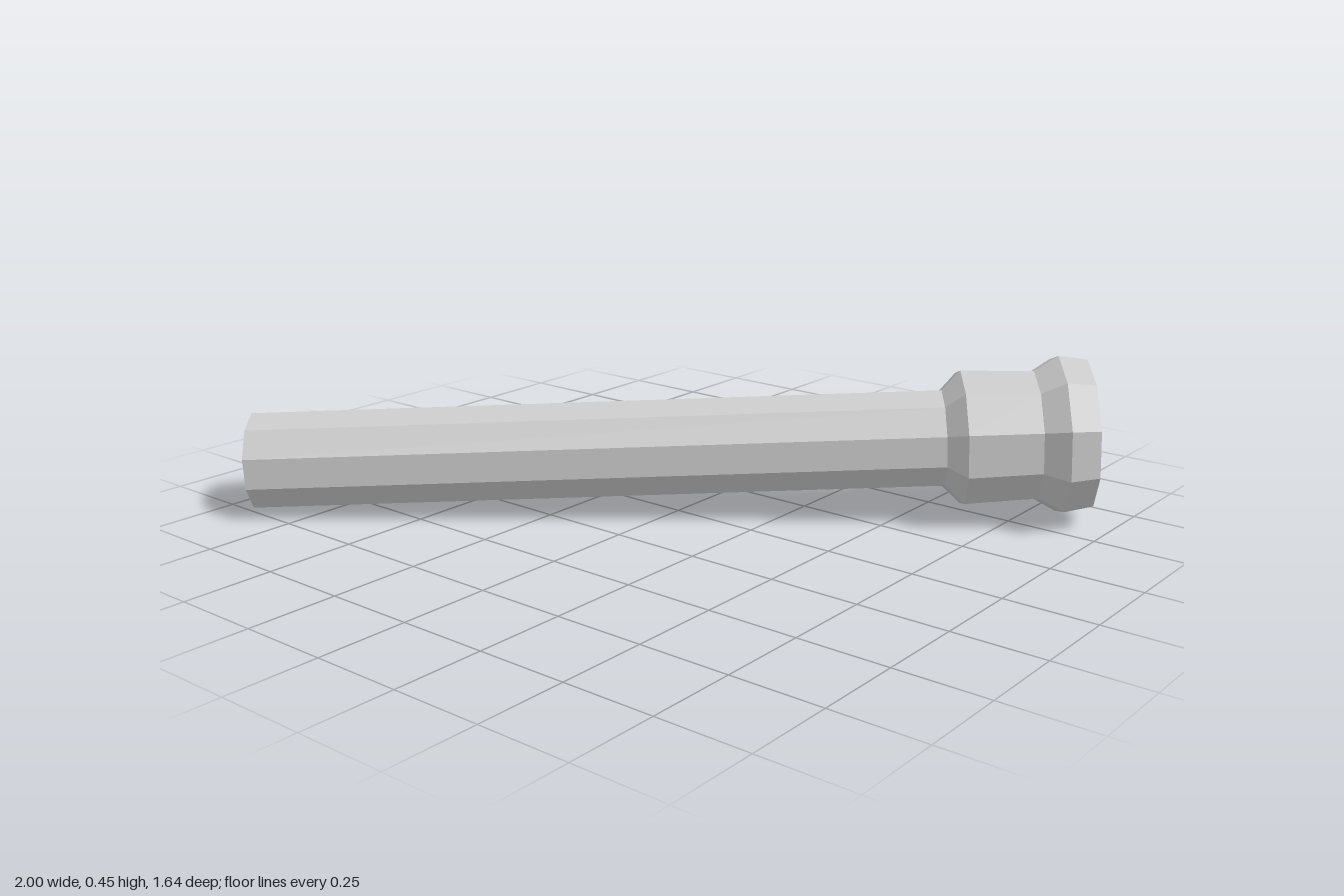
import * as THREE from 'three';

const SIDES = 10;

export function createModel() {
  const model = new THREE.Group();
  const material = new THREE.MeshStandardMaterial({ color: 0xcccccc, flatShading: true });

  // Each profile is a list of [radius, distance along the axis]
  const parts = {
    shaft: [[0, 0], [0.136, 0], [0.135, 1.88]],
    collar: [[0.135, 1.88], [0.188, 1.93], [0.179, 2.126]],
    rim: [[0.179, 2.126], [0.219, 2.19], [0.206, 2.267], [0, 2.267]],
  };

  const handle = new THREE.Group();
  handle.name = 'handle';
  for (const [name, profile] of Object.entries(parts)) {
    const points = profile.map(([r, y]) => new THREE.Vector2(r, y));
    const mesh = new THREE.Mesh(new THREE.LatheGeometry(points, SIDES), material);
    mesh.name = name;
    handle.add(mesh);
  }

  // Lay the axis down diagonally, slightly raised, with a corner of the decagon on top
  const axis = new THREE.Vector3(0.795, 0.044, -0.607).normalize();
  const side = new THREE.Vector3().crossVectors(axis, new THREE.Vector3(0, 1, 0)).normalize();
  const up = new THREE.Vector3().crossVectors(side, axis);
  handle.quaternion.setFromRotationMatrix(new THREE.Matrix4().makeBasis(side, axis, up));
  handle.position.set(-0.92, 0.136, 0.713);

  model.add(handle);
  return model;
}
